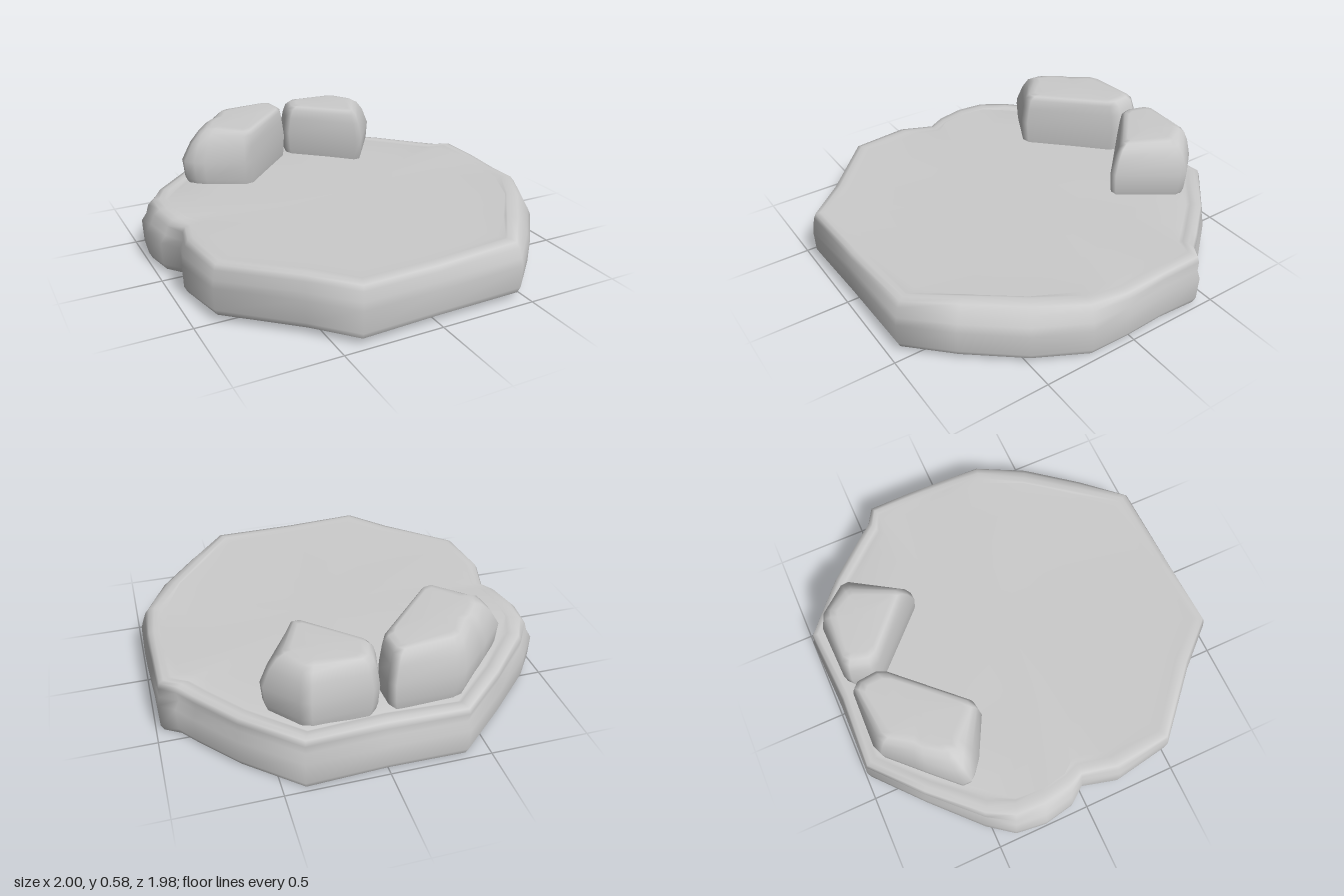
import * as THREE from 'three';

const material = new THREE.MeshStandardMaterial({ color: 0xcccccc, side: THREE.DoubleSide });

// Skins a stack of closed rings (clockwise from above), closed by one centre point.
function loft(name, rings, centre) {
  const n = rings[0].length, index = [];
  const last = rings.length * n;
  rings.forEach((ring, r) => {
    for (let i = 0; i < n; i++) {
      const j = (i + 1) % n, a0 = r * n + i, a1 = r * n + j;
      if (r === rings.length - 1) index.push(a1, a0, last);
      else index.push(a1, a0, a0 + n, a1, a0 + n, a1 + n);
    }
  });
  const geometry = new THREE.BufferGeometry();
  geometry.setAttribute('position', new THREE.Float32BufferAttribute([...rings.flat(2), ...centre], 3));
  geometry.setIndex(index);
  geometry.computeVertexNormals();
  const mesh = new THREE.Mesh(geometry, material);
  mesh.name = name;
  return mesh;
}

// Moves a point of an outline towards a centre by a distance.
function pull([x, z], d, cx = 0, cz = 0) {
  const k = 1 - d / Math.hypot(x - cx, z - cz);
  return [cx + (x - cx) * k, cz + (z - cz) * k];
}

// Slab outline: x, z, inset of the top edge, height of the top edge
const slabOutline = [
  [-0.39, -0.98, 0.03, 0.27], [0, -0.975, 0.04, 0.265], [0.40, -0.99, 0.03, 0.275],
  [0.66, -0.76, 0.03, 0.275], [0.83, -0.56, 0.03, 0.28], [0.90, -0.47, 0.03, 0.285],
  [0.98, -0.42, 0.03, 0.29], [0.985, -0.19, 0.03, 0.29], [0.995, 0.03, 0.04, 0.28],
  [0.99, 0.24, 0.06, 0.295], [0.87, 0.50, 0.09, 0.30], [0.66, 0.76, 0.08, 0.30],
  [0.46, 0.96, 0.05, 0.298], [0, 0.97, 0.03, 0.29], [-0.40, 0.985, 0.03, 0.297],
  [-0.58, 0.79, 0.03, 0.295], [-0.90, 0.50, 0.03, 0.293], [-0.95, 0.20, 0.05, 0.293],
  [-0.90, 0.01, 0.04, 0.275], [-0.97, -0.08, 0.08, 0.285], [-1.0, -0.24, 0.09, 0.29],
  [-0.98, -0.40, 0.08, 0.285], [-0.88, -0.53, 0.05, 0.28], [-0.64, -0.76, 0.03, 0.275],
];

// Slab: wall with a worn groove round the back, ledge and floor, open below
function slab() {
  const ring = (fraction, inset) => slabOutline.map((p) => {
    const bottom = p[1] < -0.4 ? 0 : p[1] < 0.25 ? 0.02 : 0.035;
    const [x, z] = pull(p, inset(p));
    return [x, bottom + (p[3] - bottom) * fraction, z];
  });
  const back = (p) => (p[1] < -0.45 ? 1 : p[1] < 0.05 ? 0.5 : 0);
  const floor = (scale) => slabOutline.map(([x, z, , y]) =>
    [x * scale, y + (0.288 - y) * (1.4 - scale), z * scale]);
  return loft('slab', [
    ring(0, () => 0.02),
    ring(0.12, () => 0.004),
    ring(0.55, () => 0),
    ring(0.70, (p) => 0.02 * back(p) + p[2] * 0.2),
    ring(0.88, (p) => p[2] * 0.5),
    ring(0.98, (p) => p[2] * 0.85),
    ring(1, (p) => p[2] + 0.02),
    ring(1, (p) => p[2] + 0.04 + 0.01 * back(p)),
    ring(0.96, (p) => p[2] + 0.05 + 0.02 * back(p)).map((v, i) =>
      [v[0], back(slabOutline[i]) === 1 ? v[1] : slabOutline[i][3], v[2]]),
    floor(0.86), floor(0.65), floor(0.35),
  ], [0, 0.288, 0]);
}

// Stone: outline of x, z and the inset of its top; corners are doubled for tight bevels
function stone(name, outline, top, cx, cz) {
  const points = [];
  outline.forEach((p, i) => {
    const n = outline.length;
    for (const q of [outline[(i + n - 1) % n], outline[(i + 1) % n]]) {
      const t = 0.03 / Math.hypot(q[0] - p[0], q[1] - p[1]);
      points.push([p[0] + (q[0] - p[0]) * t, p[1] + (q[1] - p[1]) * t, p[2]]);
    }
  });
  const ring = (y, amount, extra) => points.map((p) => {
    const [x, z] = pull(p, p[2] * amount + extra, cx, cz);
    return [x, y, z];
  });
  return loft(name, [
    ring(0.26, 0.15, 0.01),
    ring(0.31, 0.05, 0),
    ring(0.41, 0, -0.005),
    ring(0.50, 0.4, 0),
    ring(top - 0.025, 0.8, 0.005),
    ring(top - 0.005, 1, 0.025),
    ring(top, 1, 0.06),
  ], [cx, top, cz]);
}

export function createModel() {
  const group = new THREE.Group();
  group.name = 'stonePlatform';
  group.add(slab());
  group.add(stone('largeStone', [
    [-0.37, -0.88, 0.04], [-0.025, -0.875, 0.03], [-0.015, -0.71, 0.02],
    [-0.385, -0.325, 0.015], [-0.63, -0.45, 0.08], [-0.71, -0.535, 0.13], [-0.54, -0.71, 0.06],
  ], 0.58, -0.32, -0.63));
  group.add(stone('smallStone', [
    [0.03, -0.885, 0.03], [0.37, -0.895, 0.04], [0.54, -0.71, 0.08],
    [0.32, -0.39, 0.05], [-0.01, -0.72, 0.02],
  ], 0.572, 0.26, -0.69));
  return group;
}
